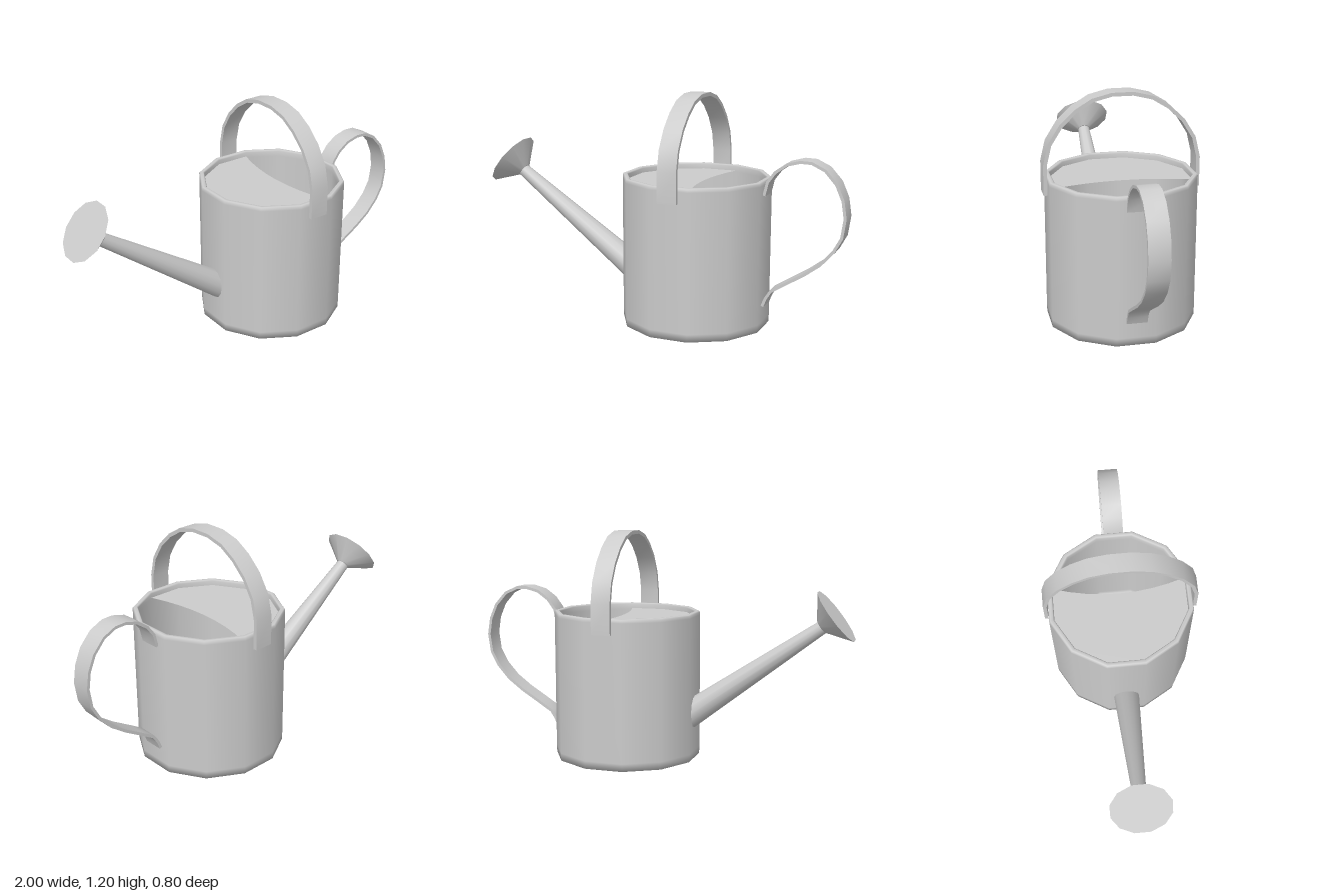
import * as THREE from 'three';
import { toCreasedNormals } from 'three/addons/utils/BufferGeometryUtils.js';

const SIDES = 12;
const BODY_X = 0.2;
const v2 = (p) => new THREE.Vector2(p[0], p[1]);

const grey = new THREE.MeshStandardMaterial({ color: 0xcccccc });
const greyDouble = new THREE.MeshStandardMaterial({ color: 0xcccccc, side: THREE.DoubleSide });

function addMesh(parent, name, geometry, material = grey) {
  const mesh = new THREE.Mesh(geometry, material);
  mesh.name = name;
  parent.add(mesh);
  return mesh;
}

// Flat metal strap: outer outline thickened to its right-hand side, extruded along z
function strapGeometry(outline, thickness, width) {
  const outer = outline.map(v2);
  const inner = outer.map((p, i) => {
    const a = outer[Math.max(i - 1, 0)];
    const b = outer[Math.min(i + 1, outer.length - 1)];
    const d = b.clone().sub(a).normalize();
    return new THREE.Vector2(p.x + d.y * thickness, p.y - d.x * thickness);
  });
  const shape = new THREE.Shape([...outer, ...inner.reverse()]);
  const geometry = new THREE.ExtrudeGeometry(shape, { depth: width, bevelEnabled: false });
  geometry.translate(0, 0, -width / 2);
  return toCreasedNormals(geometry, 0.75);
}

// Turned part whose axis runs from one point to another in the x-y plane
function placeAlong(mesh, from, to) {
  const direction = to.clone().sub(from).normalize();
  mesh.quaternion.setFromUnitVectors(new THREE.Vector3(0, 1, 0), direction);
  mesh.position.copy(from);
}

export function createModel() {
  const model = new THREE.Group();
  model.name = 'wateringCan';

  // Hollow body with a softened bottom edge and a thin rim
  const bodyProfile = [
    [0, 0], [0.387, 0], [0.388, 0.04], [0.388, 0.755], [0.388, 0.768], [0.382, 0.775],
    [0.366, 0.775], [0.36, 0.768], [0.36, 0.74], [0.36, 0.06], [0.36, 0.025], [0, 0.025],
  ].map(v2);
  const body = addMesh(model, 'body', new THREE.LatheGeometry(bodyProfile, SIDES, Math.PI / SIDES));
  body.position.x = BODY_X;

  // Half cover with a hollowed edge, just below the rim on the spout side
  const cover = new THREE.Shape();
  for (let i = 0; i < 8; i++) {
    const a = THREE.MathUtils.degToRad(75 + 30 * i);
    const x = 0.361 * Math.cos(a), y = 0.361 * Math.sin(a);
    if (i === 0) cover.moveTo(x, y);
    else cover.lineTo(x, y);
  }
  cover.quadraticCurveTo(-0.023, 0, 0.093, 0.349);
  const coverMesh = addMesh(model, 'halfCover', new THREE.ShapeGeometry(cover, 8), greyDouble);
  coverMesh.rotation.x = -Math.PI / 2;
  coverMesh.position.set(BODY_X, 0.745, 0);

  // Carrying handle arching over the top, front to back
  const halfArch = [
    [-0.398, 0.695], [-0.398, 0.85], [-0.373, 0.955], [-0.315, 1.048],
    [-0.24, 1.12], [-0.155, 1.172], [-0.055, 1.197],
  ];
  const arch = [...halfArch, ...halfArch.map(([x, y]) => [-x, y]).reverse()];
  const topHandle = addMesh(model, 'topHandle', strapGeometry(arch, 0.019, 0.1));
  topHandle.rotation.y = Math.PI / 2;
  topHandle.position.x = BODY_X;

  // Pouring handle looping out from the side opposite the spout
  const loop = [
    [0.573, 0.705], [0.59, 0.775], [0.63, 0.83], [0.69, 0.873], [0.76, 0.892], [0.82, 0.89],
    [0.89, 0.857], [0.95, 0.79], [0.985, 0.71], [0.999, 0.62], [0.985, 0.52], [0.945, 0.445],
    [0.88, 0.372], [0.80, 0.312], [0.70, 0.25], [0.63, 0.205], [0.605, 0.165], [0.59, 0.125],
  ];
  addMesh(model, 'sideHandle', strapGeometry(loop, 0.015, 0.104));

  // Tapered spout
  const root = new THREE.Vector3(-0.11, 0.207, 0);
  const tip = new THREE.Vector3(-0.84, 0.73, 0);
  const length = root.distanceTo(tip);
  const spoutGeometry = new THREE.CylinderGeometry(0.034, 0.073, length, SIDES, 1, true);
  spoutGeometry.translate(0, length / 2, 0);
  const spout = addMesh(model, 'spout', spoutGeometry, greyDouble);
  placeAlong(spout, root, tip);

  // Flared sprinkler head with a flat face
  const neck = new THREE.Vector3(-0.832, 0.728, 0);
  const face = new THREE.Vector3(-0.905, 0.785, 0);
  const depth = neck.distanceTo(face);
  const headGeometry = new THREE.CylinderGeometry(0.157, 0.036, depth, SIDES, 1, false, Math.PI / SIDES);
  headGeometry.translate(0, depth / 2, 0);
  const head = addMesh(model, 'sprinklerHead', headGeometry);
  placeAlong(head, neck, face);

  return model;
}
